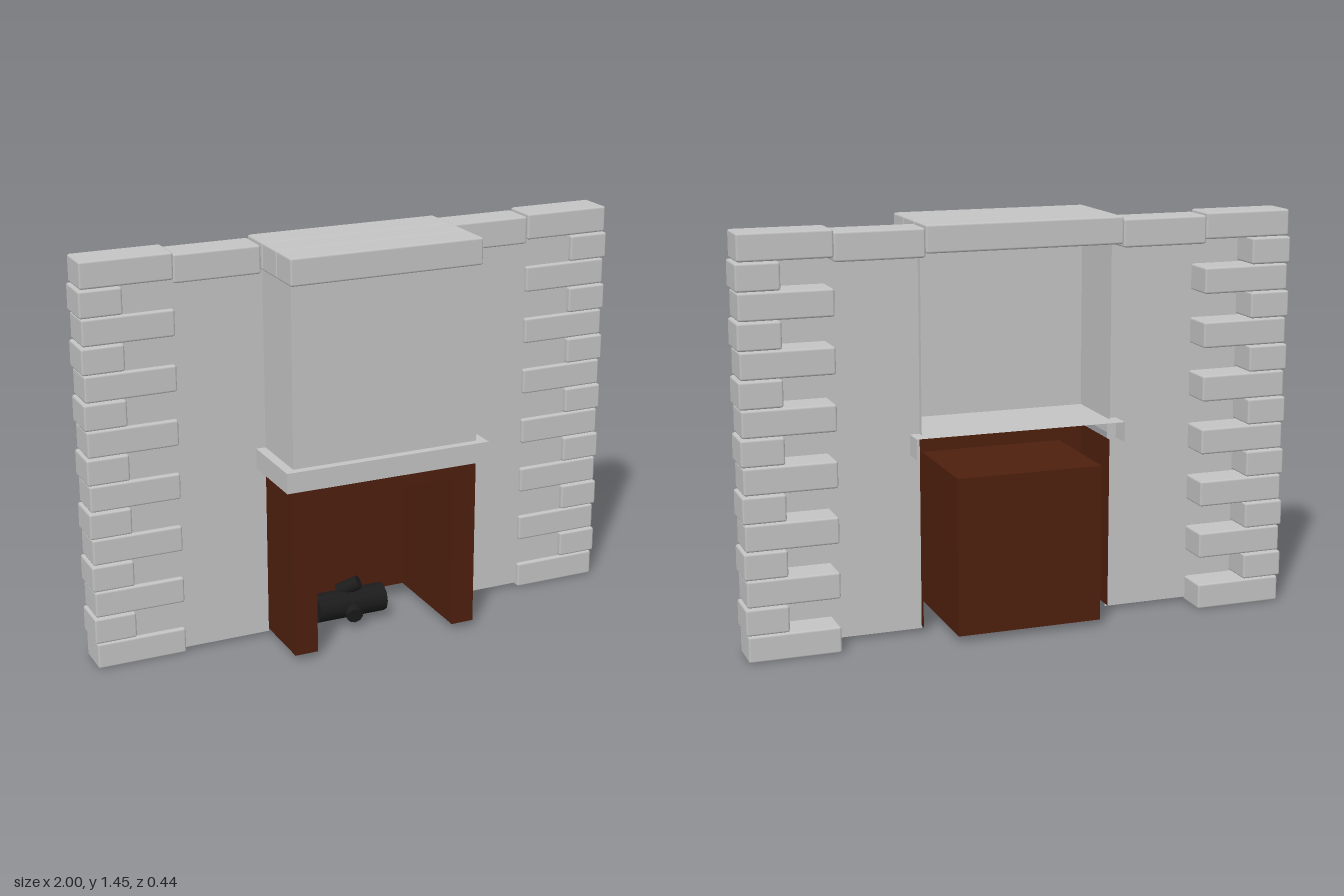
import * as THREE from 'three';
import { RoundedBoxGeometry } from 'three/addons/geometries/RoundedBoxGeometry.js';

export function createModel() {
  const model = new THREE.Group();
  model.name = 'fireplace';
  const material = (name, color) => {
    const m = new THREE.MeshStandardMaterial({ color, side: THREE.DoubleSide });
    m.name = name;
    return m;
  };
  const stone = material('grey stone', 0xc4c4c4);
  const brown = material('brown firebox', 0x4e200e);
  const charred = material('charred wood', 0x1c1c1c);

  const add = (name, geometry, mat, parent = model) => {
    const mesh = new THREE.Mesh(geometry, mat);
    mesh.name = name;
    parent.add(mesh);
    return mesh;
  };

  // Softly rounded block given by its limits
  const block = (name, x0, x1, y0, y1, z0, z1, parent) =>
    add(name, new RoundedBoxGeometry(x1 - x0, y1 - y0, z1 - z0, 1, 0.008), stone, parent)
      .position.set((x0 + x1) / 2, (y0 + y1) / 2, (z0 + z1) / 2);

  // Thin sheets facing z, x and y
  const sheetZ = (name, mat, x0, x1, y0, y1, z, parent) =>
    add(name, new THREE.PlaneGeometry(x1 - x0, y1 - y0), mat, parent)
      .position.set((x0 + x1) / 2, (y0 + y1) / 2, z);
  const sheetX = (name, mat, x, y0, y1, z0, z1, parent) => {
    const g = new THREE.PlaneGeometry(z1 - z0, y1 - y0).rotateY(Math.sign(x) * Math.PI / 2);
    add(name, g, mat, parent).position.set(x, (y0 + y1) / 2, (z0 + z1) / 2);
  };
  const sheetY = (name, mat, x0, x1, y, z0, z1, parent) => {
    const g = new THREE.PlaneGeometry(x1 - x0, z1 - z0).rotateX(-Math.PI / 2);
    add(name, g, mat, parent).position.set((x0 + x1) / 2, y, (z0 + z1) / 2);
  };
  const group = (name) => {
    const g = new THREE.Group();
    g.name = name;
    model.add(g);
    return g;
  };

  // Corner stones, alternating long and short, and the side walls
  const rows = 15, pitch = 1.455 / rows;
  for (const s of [-1, 1]) {
    const side = s > 0 ? 'left' : 'right';
    const corner = group(side + 'CornerStones');
    const span = (a, b) => (s > 0 ? [a, b] : [-b, -a]);
    for (let i = 0; i < rows; i++) {
      const long = i % 2 === 0;
      const [x0, x1] = long ? span(0.67, 0.993) : span(0.85, 1);
      const dz = long ? 0 : 0.004;
      block('cornerStone', x0, x1, i * pitch + 0.002, (i + 1) * pitch - 0.001,
        -0.177 - dz, -0.044 + dz, corner);
    }
    const [w0, w1] = span(0.35, 0.96);
    sheetZ(side + 'Wall', stone, w0, w1, 0.015, 1.4, -0.06);
    const [c0, c1] = span(0.357, 0.67);
    block(side + 'CapStone', c0, c1, 1.345, 1.445, -0.177, -0.05);
  }

  // Three long cap stones over the chimney
  for (const [z0, z1] of [[-0.178, -0.043], [-0.043, 0.08], [0.08, 0.203]])
    block('chimneyCapStone', -0.356, 0.356, 1.358, 1.455, z0, z1);

  // Chimney breast, open at the back
  const breast = group('chimneyBreast');
  sheetZ('breastFront', stone, -0.35, 0.35, 0.715, 1.365, 0.188, breast);
  for (const s of [-1, 1]) sheetX('breastSide', stone, s * 0.35, 0.715, 1.365, -0.085, 0.188, breast);

  // Mantel shelf, hollow below and behind
  const mantel = group('mantel');
  sheetZ('mantelFront', stone, -0.385, 0.385, 0.647, 0.72, 0.218, mantel);
  sheetY('mantelTop', stone, -0.385, 0.385, 0.72, -0.14, 0.218, mantel);
  for (const s of [-1, 1]) sheetX('mantelEnd', stone, s * 0.385, 0.647, 0.72, -0.14, 0.218, mantel);

  // Surround: front frame with an opening, and outer sides
  const surround = group('surround');
  const frame = new THREE.Shape([
    [-0.35, 0.025], [-0.265, 0.025], [-0.265, 0.59], [0.265, 0.59],
    [0.265, 0.025], [0.35, 0.025], [0.35, 0.647], [-0.35, 0.647],
  ].map(([x, y]) => new THREE.Vector2(x, y)));
  add('surroundFront', new THREE.ShapeGeometry(frame), brown, surround).position.z = 0.188;
  for (const s of [-1, 1]) sheetX('surroundSide', brown, s * 0.35, 0.025, 0.647, -0.085, 0.188, surround);

  // Firebox, open at the front and below
  const firebox = group('firebox');
  sheetZ('fireboxBack', brown, -0.265, 0.265, 0.025, 0.59, -0.218, firebox);
  sheetY('fireboxTop', brown, -0.265, 0.265, 0.59, -0.218, 0.188, firebox);
  for (const s of [-1, 1]) sheetX('fireboxSide', brown, s * 0.265, 0.025, 0.59, -0.218, 0.188, firebox);

  // Log with two branch stubs
  const logs = group('logs');
  const log = (name, a, b, r) => {
    const from = new THREE.Vector3(...a), to = new THREE.Vector3(...b);
    const dir = to.clone().sub(from);
    const mesh = add(name, new THREE.CylinderGeometry(r, r, dir.length(), 10), charred, logs);
    mesh.position.copy(from).add(to).multiplyScalar(0.5);
    mesh.quaternion.setFromUnitVectors(new THREE.Vector3(0, 1, 0), dir.normalize());
  };
  log('mainLog', [-0.175, 0.077, -0.04], [0.092, 0.077, -0.04], 0.053);
  log('upperBranch', [-0.075, 0.12, -0.06], [-0.01, 0.16, -0.02], 0.026);
  log('lowerBranch', [-0.04, 0.075, -0.05], [-0.05, 0.055, 0.035], 0.03);

  return model;
}
